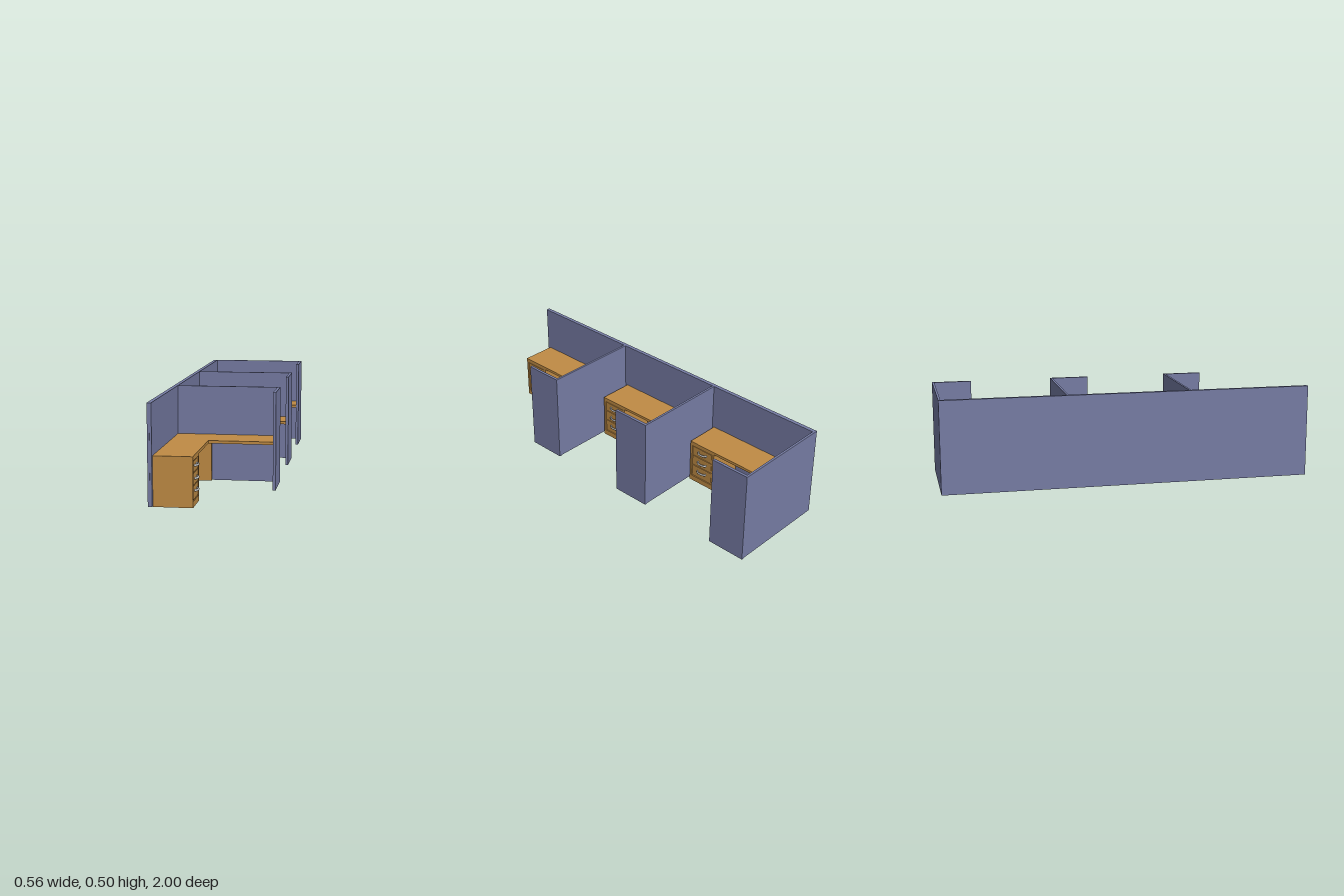
import * as THREE from 'three';

const blue = new THREE.MeshStandardMaterial({ color: 0x767ca4 });
const wood = new THREE.MeshStandardMaterial({ color: 0xc08c45 });
const metal = new THREE.MeshStandardMaterial({ color: 0xcccccc });

// Box given by its minimum and maximum corners
function block(parent, name, material, [x0, y0, z0], [x1, y1, z1]) {
  const mesh = new THREE.Mesh(new THREE.BoxGeometry(x1 - x0, y1 - y0, z1 - z0), material);
  mesh.position.set((x0 + x1) / 2, (y0 + y1) / 2, (z0 + z1) / 2);
  mesh.name = name;
  parent.add(mesh);
  return mesh;
}

// L-shaped worktop running along the partition and the long wall
function worktop() {
  const outline = [[-0.26, 0.012], [-0.26, 0.652], [-0.066, 0.652], [-0.066, 0.205], [0.266, 0.205], [0.266, 0.012]];
  const shape = new THREE.Shape(outline.map(([x, z]) => new THREE.Vector2(x, -z)));
  const geometry = new THREE.ExtrudeGeometry(shape, { depth: 0.015, bevelEnabled: false });
  geometry.rotateX(-Math.PI / 2);
  const mesh = new THREE.Mesh(geometry, wood);
  mesh.position.y = 0.233;
  mesh.name = 'worktop';
  return mesh;
}

// Bowed drawer pull with a foot at each end
function drawerPull() {
  const pull = new THREE.Group();
  pull.name = 'drawerPull';
  const curve = new THREE.CatmullRomCurve3(
    [[-0.005, -0.028], [0.004, -0.027], [0.011, -0.017], [0.014, 0], [0.011, 0.017], [0.004, 0.027], [-0.005, 0.028]]
      .map(([x, z]) => new THREE.Vector3(x, 0, z)));
  const bow = new THREE.Mesh(new THREE.TubeGeometry(curve, 24, 0.004, 10), metal);
  bow.scale.y = 1.5;
  bow.name = 'pullBow';
  pull.add(bow);
  for (const side of [-1, 1]) {
    const foot = new THREE.Mesh(new THREE.CylinderGeometry(0.007, 0.007, 0.004, 12), metal);
    foot.rotation.z = Math.PI / 2;
    foot.position.set(-0.001, 0, side * 0.027);
    foot.name = 'pullFoot';
    pull.add(foot);
  }
  return pull;
}

// Three-drawer pedestal, drawers facing +x
function pedestal() {
  const group = new THREE.Group();
  group.name = 'pedestal';
  const back = 0.488, front = 0.652, face = -0.066;
  block(group, 'pedestalBody', wood, [-0.26, 0, back], [-0.076, 0.233, front]);
  block(group, 'plinth', wood, [-0.076, 0, back], [face, 0.03, front]);
  block(group, 'topRail', wood, [-0.076, 0.225, back], [face, 0.233, front]);
  block(group, 'sideFrame', wood, [-0.076, 0.03, back], [face, 0.225, back + 0.013]);
  block(group, 'sideFrame', wood, [-0.076, 0.03, front - 0.013], [face, 0.225, front]);
  const levels = [0.034, 0.105, 0.167, 0.225];
  [0.075, 0.134, 0.197].forEach((pullY, i) => {
    block(group, 'drawerFront', wood, [-0.076, levels[i], back + 0.016], [-0.068, levels[i + 1] - 0.004, front - 0.016]);
    const pull = drawerPull();
    pull.position.set(-0.068, pullY, (back + front) / 2);
    group.add(pull);
  });
  return group;
}

// One workstation, measured from the rear face of its partition
function workstation() {
  const group = new THREE.Group();
  group.name = 'workstation';
  block(group, 'partition', blue, [-0.27, 0.003, 0], [0.266, 0.503, 0.012]);
  block(group, 'wingPanel', blue, [0.266, 0, 0], [0.281, 0.503, 0.215]);
  group.add(worktop());
  // corner supports under the worktop
  block(group, 'wallSupport', wood, [-0.26, 0, 0.012], [-0.248, 0.233, 0.205]);
  block(group, 'partitionSupport', wood, [-0.248, 0, 0.012], [-0.08, 0.233, 0.024]);
  group.add(pedestal());
  return group;
}

export function createModel() {
  const model = new THREE.Group();
  model.name = 'officeWorkstations';
  // long rear wall in two layers
  block(model, 'outerWall', blue, [-0.281, 0.003, -1], [-0.27, 0.503, 1]);
  block(model, 'innerWall', blue, [-0.27, 0.003, -0.988], [-0.26, 0.503, 0.998]);
  for (const z of [-1, -0.336, 0.33]) {
    const station = workstation();
    station.position.z = z;
    model.add(station);
  }
  return model;
}
